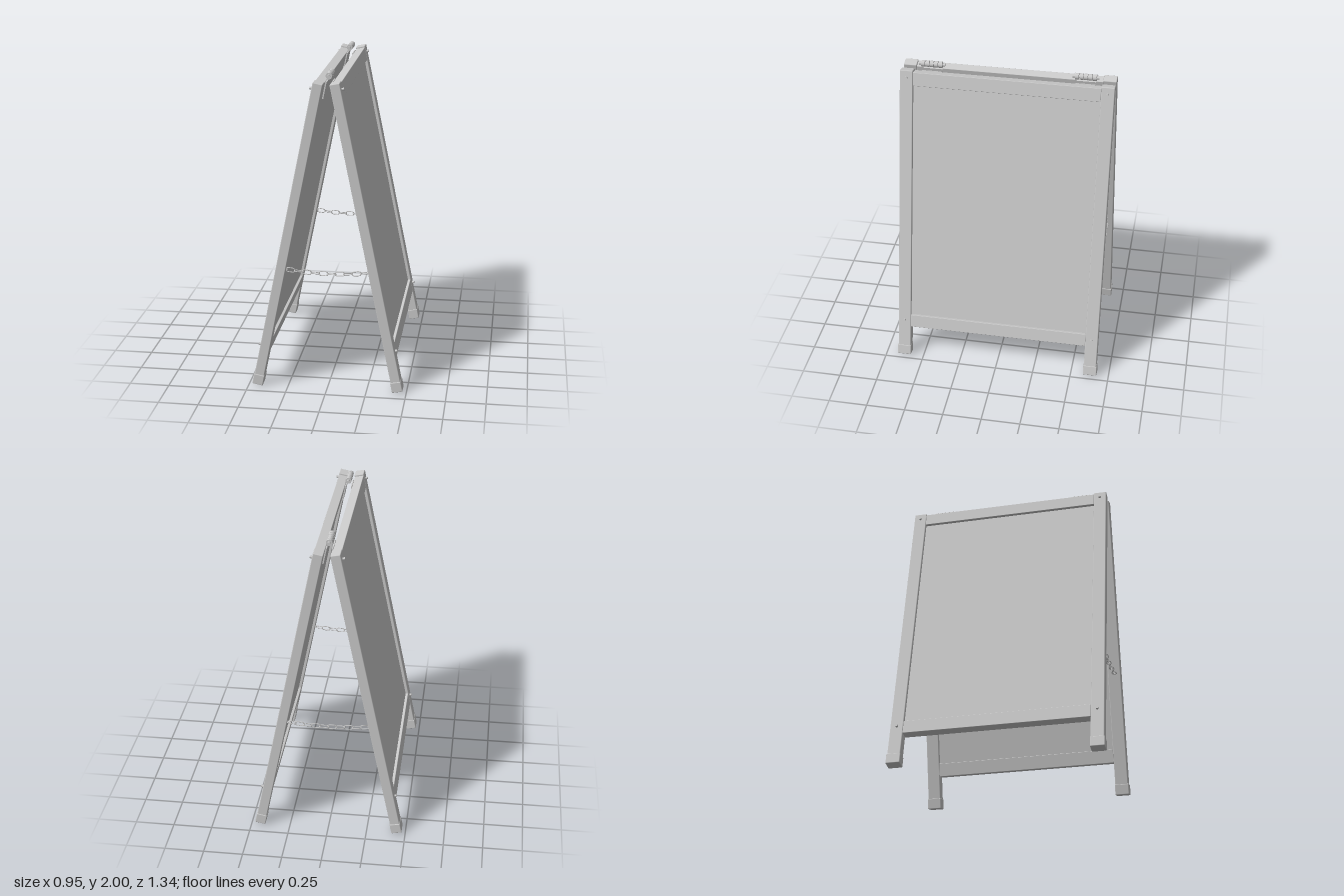
import * as THREE from 'three';
import { RoundedBoxGeometry } from 'three/addons/geometries/RoundedBoxGeometry.js';

const grey = new THREE.MeshStandardMaterial({ color: 0xcccccc });
grey.name = 'plain grey';

function add(parent, name, geometry, x = 0, y = 0, z = 0) {
  const mesh = new THREE.Mesh(geometry, grey);
  mesh.name = name;
  mesh.position.set(x, y, z);
  parent.add(mesh);
  return mesh;
}

const block = (w, h, d, r = 0.005) => new RoundedBoxGeometry(w, h, d, 1, r);

// One leaning board; local y = 0 is the top of the legs, +x the outer face
function createBoard(name) {
  const board = new THREE.Group();
  board.name = name;
  for (const s of [-1, 1]) {
    add(board, 'leg', block(0.062, 1.975, 0.083), 0, -0.9875, s * 0.626);
    add(board, 'footCap', block(0.068, 0.068, 0.09), 0, -1.953, s * 0.627);
    for (const y of [-0.045, -1.728]) {
      const bolt = add(board, 'bolt', new THREE.CylinderGeometry(0.008, 0.008, 0.02, 12), 0.036, y, s * 0.625);
      bolt.rotation.z = -Math.PI / 2;
    }
    add(board, 'hingeLeaf', new THREE.BoxGeometry(0.008, 0.105, 0.12), -0.034, -0.062, s * 0.48);
  }
  add(board, 'topRail', block(0.058, 0.087, 1.17, 0.003), 0, -0.0535, 0);
  add(board, 'bottomRail', block(0.058, 0.087, 1.17, 0.003), 0, -1.7335, 0);
  add(board, 'panel', new THREE.BoxGeometry(0.022, 1.62, 1.18), 0, -0.895, 0);
  board.position.set(0.05, 1.957, 0);
  board.rotation.z = 0.2;
  return board;
}

// Barrel hinge with five knuckles on a pin
function createHinge(z) {
  const hinge = new THREE.Group();
  hinge.name = 'hinge';
  const rod = (name, r, length, offset) => {
    add(hinge, name, new THREE.CylinderGeometry(r, r, length, 20), 0, 0, offset).rotation.x = Math.PI / 2;
  };
  rod('hingePin', 0.009, 0.165, 0);
  for (let i = -2; i <= 2; i++) rod('hingeKnuckle', 0.02, 0.023, i * 0.0275);
  hinge.position.set(0, 1.98, z);
  return hinge;
}

// Sagging chain of alternately turned oval links
function createChain(z) {
  const chain = new THREE.Group();
  chain.name = 'chain';
  const outline = [[0.028, 0.005], [0.018, 0.013], [-0.018, 0.013], [-0.028, 0.005],
    [-0.028, -0.005], [-0.018, -0.013], [0.018, -0.013], [0.028, -0.005]];
  const curve = new THREE.CatmullRomCurve3(
    outline.map(([x, y]) => new THREE.Vector3(x, y, 0)), true, 'catmullrom', 0.2);
  const linkShape = new THREE.TubeGeometry(curve, 28, 0.003, 6, true);
  for (let i = 0; i < 10; i++) {
    const x = -0.23 + i * 0.0513;
    const link = add(chain, 'chainLink', linkShape, x, 0.761 + 0.27 * x * x, z);
    link.rotation.order = 'ZXY';
    link.rotation.z = Math.atan(0.54 * x);
    link.rotation.x = i % 2 ? Math.PI / 2 : 0;
  }
  // Eyes fixing the chain to the legs
  for (const s of [-1, 1]) {
    add(chain, 'chainEye', new THREE.CylinderGeometry(0.004, 0.004, 0.03, 8), s * 0.262, 0.778, z)
      .rotation.z = Math.PI / 2;
  }
  return chain;
}

export function createModel() {
  const model = new THREE.Group();
  model.name = 'foldingSignBoard';

  // Two identical boards turned back to back
  const leftBoard = createBoard('leftBoard');
  const rightBoard = new THREE.Group();
  rightBoard.name = 'rightSide';
  rightBoard.add(createBoard('rightBoard'));
  rightBoard.rotation.y = Math.PI;
  model.add(leftBoard, rightBoard);

  for (const s of [-1, 1]) model.add(createHinge(s * 0.48), createChain(s * 0.63));
  return model;
}
